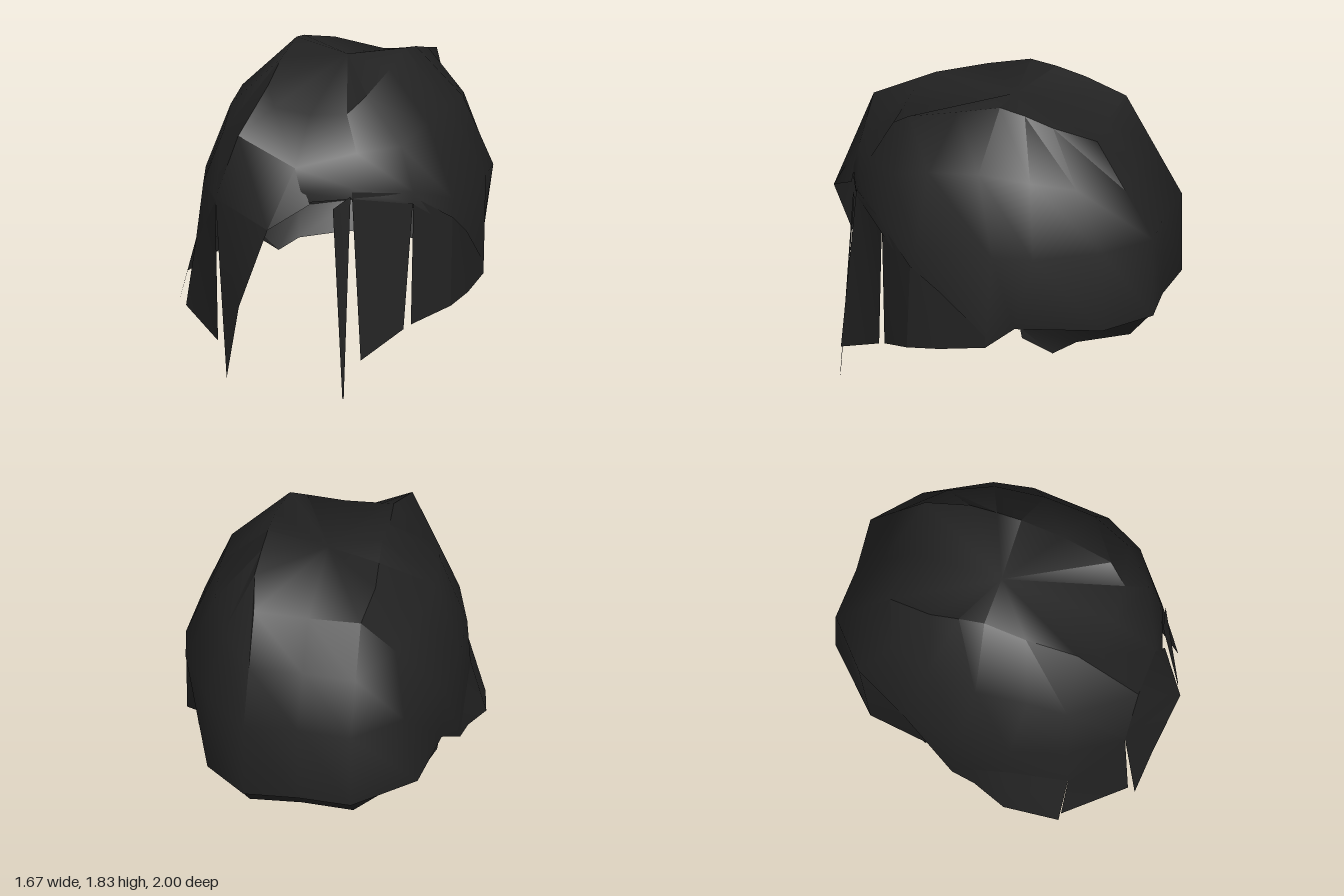
import * as THREE from 'three';
import { toCreasedNormals } from 'three/addons/utils/BufferGeometryUtils.js';

const CX = 0.04;
const hair = new THREE.MeshStandardMaterial({ color: 0x222222, side: THREE.DoubleSide });
hair.name = 'black hair';

// Mesh from corner points and triangle indices
function surface(name, points, index) {
  const g = new THREE.BufferGeometry();
  g.setAttribute('position', new THREE.Float32BufferAttribute(points.flat(), 3));
  g.setIndex(index);
  const mesh = new THREE.Mesh(toCreasedNormals(g, 1.0), hair);
  mesh.name = name;
  return mesh;
}

// Sheet joining rows of equal length, listed top to bottom
function sheet(name, rows, closed = false) {
  const n = rows[0].length, index = [];
  for (let r = 0; r < rows.length - 1; r++) {
    for (let j = 0; j < (closed ? n : n - 1); j++) {
      const k = (j + 1) % n, a = r * n + j, b = r * n + k;
      index.push(a, b, a + n, b, b + n, a + n);
    }
  }
  return { name, points: rows.flat(), index };
}

// Half a loop [half width, y, z], back centre to front centre, mirrored to a full loop;
// uneven replaces single points of the mirrored side by [x, y, z]
function loop(half, uneven = {}) {
  const right = half.slice(1, -1).reverse().map(([w, y, z]) => [CX - w, y, z]);
  return Object.assign([...half.map(([w, y, z]) => [CX + w, y, z]), ...right], uneven);
}

function createModel() {
  const group = new THREE.Group();
  group.name = 'hair';
  const add = (s) => group.add(surface(s.name, s.points, s.index));

  // Cap: ridge, shoulder, equator and rim loops, closed by a dip in the crown
  const crest = [-0.3, 1.49, 0.83], temple = [-0.45, 1.1, 0.8], brow = [CX, 1.33, 0.82];
  const ridge = loop([[0, 1.65, -0.64], [0.31, 1.68, -0.67], [0.35, 1.75, -0.42], [0.34, 1.8, -0.25],
    [0.33, 1.83, -0.1], [0.33, 1.77, 0.15], [0.3, 1.69, 0.45], [0.22, 1.6, 0.56], [0, 1.58, 0.57]]);
  const shoulder = loop([[0, 1.39, -0.82], [0.31, 1.39, -0.835], [0.5, 1.45, -0.6], [0.59, 1.5, -0.35],
    [0.61, 1.53, -0.05], [0.6, 1.5, 0.25], [0.52, 1.42, 0.48], [0.32, 1.41, 0.67], [0, 1.33, 0.82]],
  { 9: crest, 10: [-0.52, 1.4, 0.48], 12: [-0.6, 1.53, -0.05] });
  const equator = loop([[0, 1.1, -0.98], [0.31, 1.1, -1], [0.56, 1.1, -0.77], [0.75, 1.1, -0.41],
    [0.79, 1.1, -0.18], [0.76, 1.08, 0.28], [0.61, 1.17, 0.52], [0.32, 1.22, 0.74], [0, 1.2, 0.86]],
  { 9: temple, 10: [-0.63, 1.1, 0.51], 11: [-0.73, 1.1, 0.2], 12: [-0.74, 1.1, -0.1],
    13: [-0.71, 1.1, -0.45], 14: [-0.54, 1.1, -0.77] });
  const rim = loop([[0, 0.61, -0.97], [0.31, 0.62, -1], [0.56, 0.61, -0.77], [0.71, 0.63, -0.29],
    [0.79, 0.53, -0.14], [0.77, 0.92, 0.3], [0.61, 1.1, 0.53], [0.32, 1.16, 0.75], [0, 1.13, 0.86]],
  { 9: [-0.45, 1.08, 0.8], 10: [-0.67, 0.74, 0.53], 11: [-0.75, 0.8, 0.2], 12: [-0.75, 0.53, -0.14],
    14: [-0.6, 0.6, -0.68] });
  const cap = sheet('cap', [ridge, shoulder, equator, rim], true);
  const crown = cap.points.push([0.02, 1.76, -0.1]) - 1;
  ridge.forEach((_, j) => cap.index.push(crown, (j + 1) % ridge.length, j));
  add(cap);

  // Neck hair tucked in under the back rim
  const neckTop = [[0, 0.62, -0.965], [0.31, 0.63, -0.99], [0.56, 0.63, -0.76], [0.7, 0.64, -0.32]];
  const neckLow = [[0, 0.48, -0.84], [0.3, 0.48, -0.86], [0.5, 0.49, -0.6], [0.58, 0.44, -0.48]];
  const neckEnd = [0.69, 0.57, -0.33];
  const arc = (h) => [...h.slice(1).reverse().map(([w, y, z]) => [CX - w, y, z]),
    ...h.map(([w, y, z]) => [CX + w, y, z])];
  add(sheet('neckHair', [arc(neckTop), arc(neckLow)]));
  for (const s of [1, -1]) {
    const ends = [neckTop[3], neckEnd, neckLow[3]].map(([w, y, z]) => [CX + s * w, y, z]);
    add({ name: 'neckHairEnd', points: ends, index: s > 0 ? [0, 1, 2] : [0, 2, 1] });
  }

  // Swept fringe with a long pointed lock
  add({
    name: 'fringe',
    points: [crest, temple, [-0.37, 0.05, 0.83], [-0.27, 0.5, 0.9],
      [-0.06, 1.0, 1.0], [0.14, 1.13, 0.84], brow],
    index: [0, 1, 4, 1, 2, 3, 1, 3, 4, 0, 4, 6, 4, 5, 6],
  });
  add(sheet('thinLock', [[[0.36, 1.18, 0.77], [0.26, 1.1, 0.79]], [[0.348, 0, 0.85], [0.34, 0, 0.85]]]));

  // Locks hanging at the left of the face
  add(sheet('leftFrontLock', [[[0.65, 1.16, 0.52], [0.36, 1.2, 0.75]], [[0.6, 0.36, 0.55], [0.44, 0.23, 0.82]]]));
  add(sheet('leftMiddleLock', [[[0.81, 0.98, 0.31], [0.65, 1.14, 0.52]], [[0.805, 0.46, 0.33], [0.63, 0.38, 0.51]]]));
  add(sheet('leftSideLock', [[[0.83, 0.6, -0.14], [0.83, 0.85, 0.13], [0.81, 0.98, 0.31]],
    [[0.83, 0.53, -0.14], [0.835, 0.49, 0.13], [0.805, 0.46, 0.33]]]));

  // Locks hanging at the right of the face
  add(sheet('rightFrontLock', [[[-0.45, 1.08, 0.8], [-0.67, 0.74, 0.53]], [[-0.43, 0.26, 0.81], [-0.735, 0.36, 0.51]]]));
  add(sheet('rightSideLock', [
    [[-0.67, 0.75, 0.53], [-0.75, 0.81, 0.2], [-0.75, 0.68, 0], [-0.75, 0.55, -0.14]],
    [[-0.78, 0.37, 0.51], [-0.84, 0.47, 0.2], [-0.77, 0.51, 0], [-0.75, 0.53, -0.14]]]));

  return group;
}

export { createModel };
